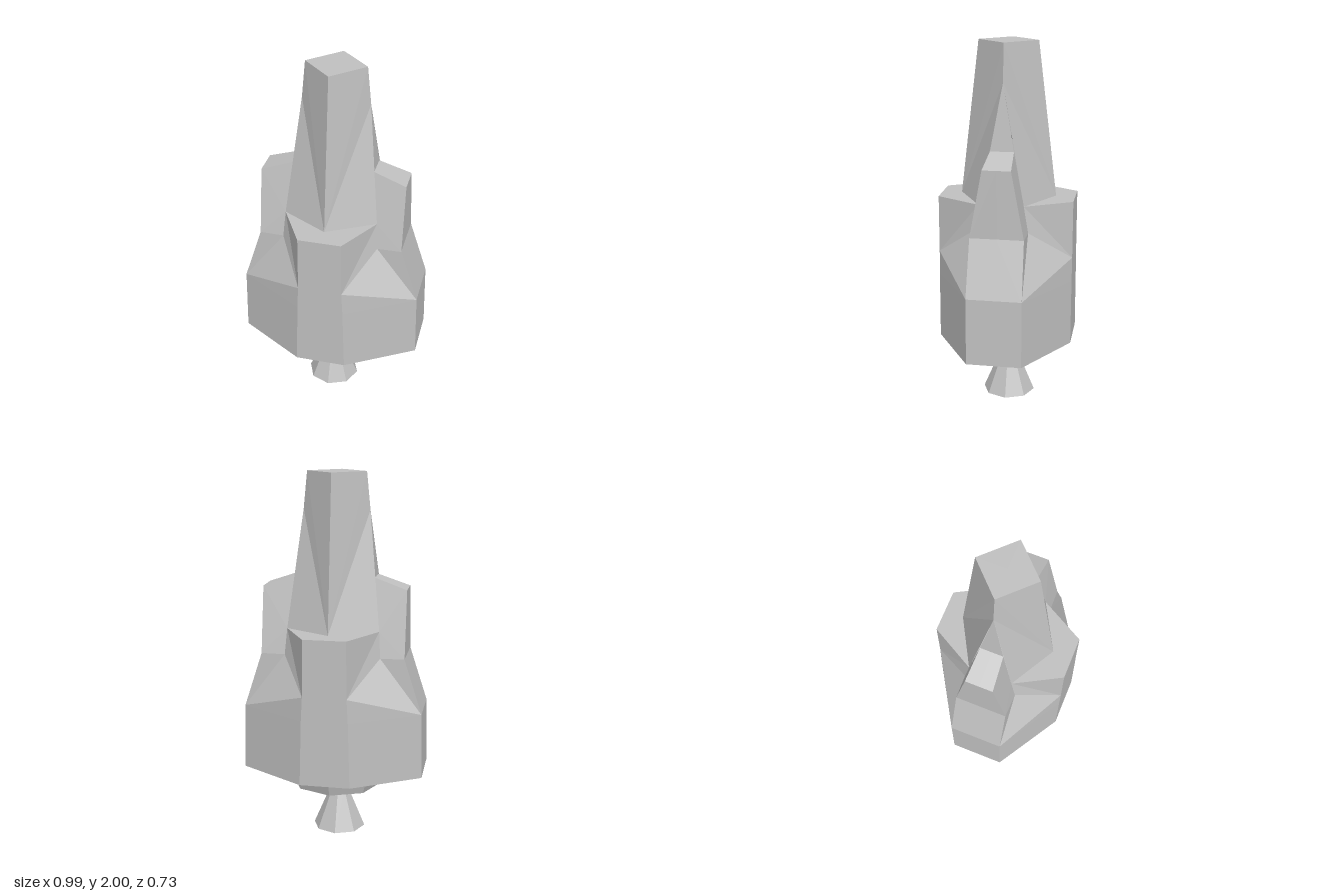
import * as THREE from 'three';

// Corner points of one quadrant (+x, +z); the other three are mirrored.
const SIDE = [[0.495, 0.37, 0.146], [0.487, 0.73, 0.146], [0.39, 1.03, 0.142], [0.39, 1.39, 0.075]];
const PANEL = [[0.135, 0.37, 0.365], [0.125, 0.73, 0.365], [0.118, 0.86, 0.365], [0.115, 1.17, 0.365]];
const NECK = [[0.26, 1.03, 0.145], [0.25, 1.17, 0.12], [0.217, 1.45, 0.063]];
const SPIRE_FOOT = [0, 1.17, 0.26];
const SPIRE_EDGE = [0.18, 1.8, 0];
const TIP_FRONT = [0, 2, 0.16];
const TIP_SIDE = [0.16, 2, 0];

const onX0 = ([, y, z]) => [0, y, z];
const onZ0 = ([x, y]) => [x, y, 0];

// Strip of quads between a chain of points and its projection on a mirror plane.
function strip(chain, project, outerFirst) {
  return chain.slice(1).map((b, i) => {
    const a = chain[i];
    return outerFirst ? [a, project(a), project(b), b] : [project(a), a, b, project(b)];
  });
}

// Mirrors convex faces into all four quadrants, keeping them facing outwards.
function mirroredGeometry(faces) {
  const pos = [];
  for (const sx of [1, -1]) for (const sz of [1, -1]) {
    for (const face of faces) {
      for (let i = 1; i < face.length - 1; i++) {
        const tri = [face[0], face[i], face[i + 1]];
        if (sx * sz < 0) tri.reverse();
        for (const [x, y, z] of tri) pos.push(x * sx, y, z * sz);
      }
    }
  }
  const geometry = new THREE.BufferGeometry();
  geometry.setAttribute('position', new THREE.Float32BufferAttribute(pos, 3));
  geometry.computeVertexNormals();
  return geometry;
}

export function createModel() {
  const group = new THREE.Group();
  const grey = new THREE.MeshStandardMaterial({ color: 0xc0c0c0, flatShading: true });
  grey.name = 'hullGrey';
  grey.side = THREE.DoubleSide;

  const add = (name, geometry) => {
    const mesh = new THREE.Mesh(geometry, grey);
    mesh.name = name;
    group.add(mesh);
    return mesh;
  };

  const [a0, a1, a2, a3] = SIDE;
  const [p0, p1, p2, p3] = PANEL;
  const [n1, n2, n3] = NECK;

  // Eight-sided lower body with sloping shoulders and flat underside
  add('lowerHull', mirroredGeometry([
    [p0, a0, a1, p1],
    [a1, n1, p2, p1],
    [[0, 0.37, 0], onZ0(a0), a0, p0, onX0(p0)],
  ]));

  // Upright blocks on the front and back
  add('frontAndBackBlocks', mirroredGeometry([
    ...strip(PANEL, onX0, false),
    [p2, n1, n2, p3],
    [onX0(p3), p3, n2, SPIRE_FOOT],
  ]));

  // Tapered pods on both sides
  add('sidePods', mirroredGeometry([
    ...strip(SIDE, onZ0, true),
    [a1, a2, n1],
    [n2, n1, a2, a3, n3],
    [n3, a3, onZ0(a3), onZ0(n3)],
  ]));

  // Diamond-shaped spire with a flattened side edge
  add('spire', mirroredGeometry([
    [SPIRE_FOOT, n2, SPIRE_EDGE],
    [SPIRE_FOOT, SPIRE_EDGE, TIP_SIDE, TIP_FRONT],
    [n3, onZ0(n3), SPIRE_EDGE],
    [[0, 2, 0], TIP_FRONT, TIP_SIDE],
  ]));

  // Octagonal collar under the hull
  const collar = add('collar', new THREE.CylinderGeometry(0.285, 0.25, 0.105, 8));
  collar.position.y = 0.3175;
  collar.scale.z = 0.94;
  const cone = add('collarBase', new THREE.CylinderGeometry(0.25, 0.07, 0.04, 8));
  cone.position.y = 0.245;
  cone.scale.z = 0.94;

  // Open flared engine nozzle
  const nozzle = add('nozzle', new THREE.CylinderGeometry(0.048, 0.145, 0.23, 8, 1, true));
  nozzle.position.set(-0.015, 0.115, 0);

  return group;
}
